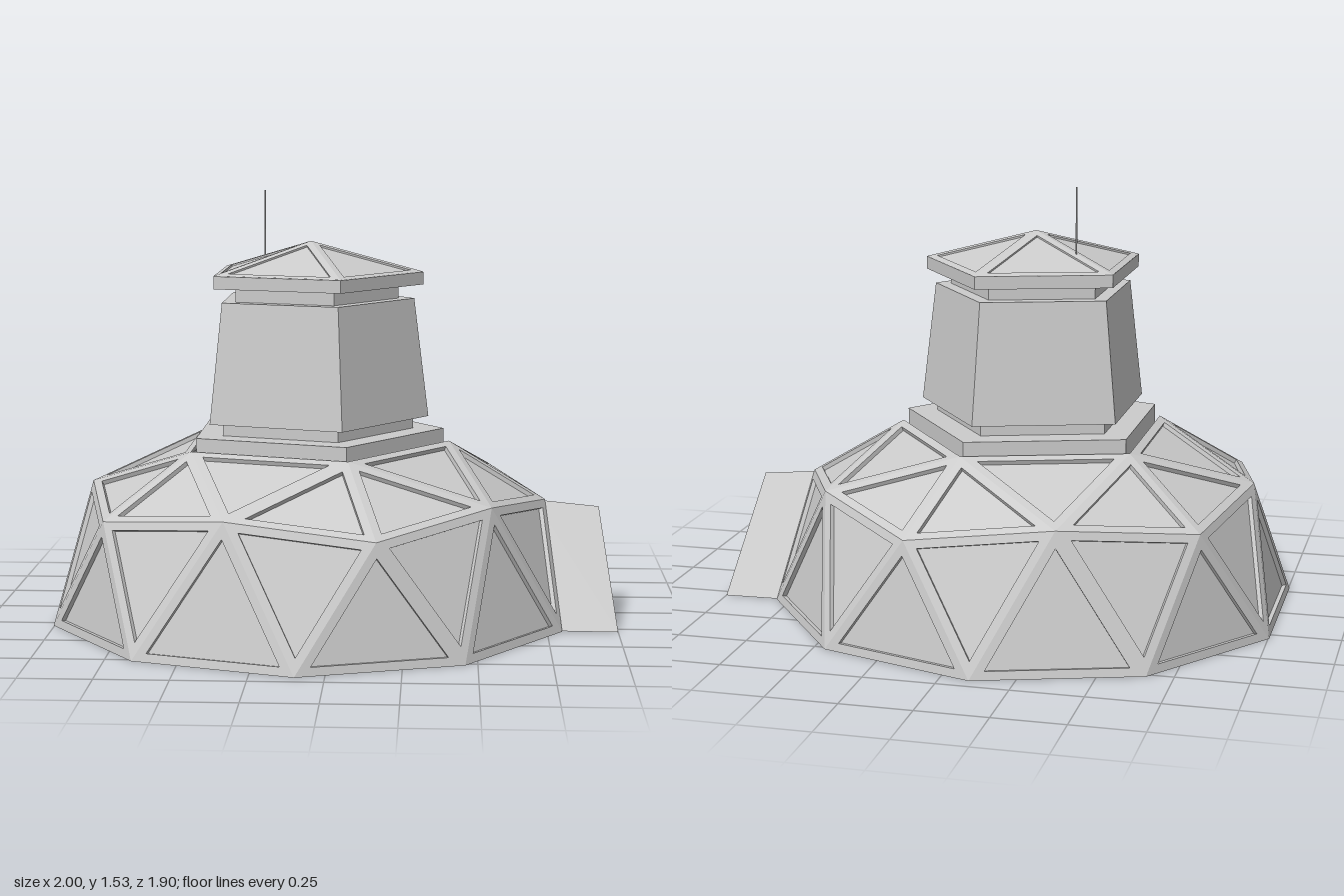
import * as THREE from 'three';

const CX = -0.1; // axis of the dome and tower
const material = new THREE.MeshStandardMaterial({ color: 0xcccccc, flatShading: true });
const centre = new THREE.Vector3(CX, 0, 0);

// point on a circle around the axis, angle in degrees from +x towards +z
function polar(r, deg, y) {
  const a = THREE.MathUtils.degToRad(deg);
  return new THREE.Vector3(CX + r * Math.cos(a), y, r * Math.sin(a));
}

// push a polygon (counter-clockwise from outside) as a triangle fan
function face(out, ...p) {
  for (let i = 1; i < p.length - 1; i++)
    for (const v of [p[0], p[i], p[i + 1]]) out.push(v.x, v.y, v.z);
}

function meshFrom(out, name) {
  const g = new THREE.BufferGeometry();
  g.setAttribute('position', new THREE.Float32BufferAttribute(out, 3));
  g.computeVertexNormals();
  const m = new THREE.Mesh(g, material);
  m.name = name;
  return m;
}

// corners moved inwards so that every side shifts by the given width
function insetTriangle(t, width) {
  const [a, b, c] = t;
  const la = b.distanceTo(c), lb = c.distanceTo(a), lc = a.distanceTo(b), p = la + lb + lc;
  const mid = new THREE.Vector3().addScaledVector(a, la / p).addScaledVector(b, lb / p).addScaledVector(c, lc / p);
  const radius = 2 * new THREE.Triangle(a, b, c).getArea() / p;
  return t.map(v => v.clone().lerp(mid, width / radius));
}

// triangular frame around a recessed panel
function framedPanel(out, t, width, recess) {
  const n = new THREE.Triangle(...t).getNormal(new THREE.Vector3());
  const rim = insetTriangle(t, width);
  const deep = rim.map(v => v.clone().addScaledVector(n, -recess));
  for (let i = 0; i < 3; i++) {
    const j = (i + 1) % 3;
    face(out, t[i], t[j], rim[j], rim[i]);
    face(out, rim[i], rim[j], deep[j], deep[i]);
  }
  face(out, ...deep);
}

// order three corners so that the face looks away from the dome centre
function outward(a, b, c) {
  const n = new THREE.Triangle(a, b, c).getNormal(new THREE.Vector3());
  const m = a.clone().add(b).add(c).divideScalar(3).sub(centre);
  return n.dot(m) > 0 ? [a, b, c] : [a, c, b];
}

const inner = v => v.clone().sub(centre).multiplyScalar(0.955).add(centre);

function buildDome() {
  const base = i => polar(0.95, i * 36 + 18, 0);
  const ring = i => (i % 2 ? polar(0.8, i * 36, 0.475) : polar(0.85, i * 36, 0.42));
  const top = i => polar(0.5, i * 72, 0.632);
  const tris = [];
  for (let i = 0; i < 10; i++) {
    if (i > 0) tris.push([base(i - 1), base(i), ring(i)]); // the first bay is the doorway
    tris.push([ring(i), ring(i + 1), base(i)]);
  }
  for (let k = 0; k < 5; k++) {
    const m = ring(2 * k + 1);
    tris.push([top(k), ring(2 * k), m], [top(k), m, top(k + 1)], [top(k + 1), m, ring(2 * k + 2)]);
  }
  const out = [];
  for (const t of tris) {
    const o = outward(...t);
    framedPanel(out, o, 0.03, 0.016);
    framedPanel(out, o.map(inner).reverse(), 0.03, 0.012);
  }
  // underside of the wall
  for (let i = 0; i < 10; i++) {
    const a = base(i), b = base(i + 1);
    face(out, a, b, inner(b), inner(a));
  }
  return meshFrom(out, 'dome');
}

// triangular entrance tunnel with an open front
function buildPorch() {
  const V = (x, y, z) => new THREE.Vector3(x, y, z);
  const back = [polar(0.95, 18, 0), polar(0.95, -18, 0), polar(0.85, 0, 0.42)].map(inner);
  back[0].z = 0.285;
  back[1].z = -0.285;
  back[2].y = 0.418;
  const front = [V(1, 0, 0.293), V(1, 0, -0.293), V(0.945, 0.395, 0)];
  const backIn = insetTriangle(back, 0.025), frontIn = insetTriangle(front, 0.025);
  const out = [];
  for (let i = 0; i < 3; i++) {
    const j = (i + 1) % 3;
    face(out, front[j], front[i], back[i], back[j]);
    face(out, front[i], front[j], frontIn[j], frontIn[i]);
    face(out, frontIn[i], frontIn[j], backIn[j], backIn[i]);
    face(out, backIn[i], backIn[j], back[j], back[i]);
  }
  return meshFrom(out, 'porch');
}

// five-sided block with one corner towards +x
function pentagon(name, y0, y1, r0, r1 = r0) {
  const m = new THREE.Mesh(new THREE.CylinderGeometry(r1, r0, y1 - y0, 5, 1, false, Math.PI / 2), material);
  m.position.set(CX, (y0 + y1) / 2, 0);
  m.name = name;
  return m;
}

function buildTower() {
  const g = new THREE.Group();
  g.name = 'tower';
  g.add(
    pentagon('collar', 0.605, 0.678, 0.48),
    pentagon('lowerNeck', 0.678, 0.722, 0.37),
    pentagon('towerBody', 0.722, 1.15, 0.425, 0.372),
    pentagon('upperNeck', 1.15, 1.2, 0.315),
    pentagon('eaves', 1.2, 1.245, 0.405)
  );
  // low roof of five framed panels
  const out = [];
  const apex = new THREE.Vector3(CX, 1.355, 0);
  for (let k = 0; k < 5; k++)
    framedPanel(out, outward(polar(0.405, k * 72, 1.246), polar(0.405, k * 72 + 72, 1.246), apex), 0.024, 0.007);
  g.add(meshFrom(out, 'roof'));
  return g;
}

export function createModel() {
  const model = new THREE.Group();
  model.name = 'domeHouse';
  model.add(buildDome(), buildPorch(), buildTower());
  const antenna = new THREE.Mesh(new THREE.CylinderGeometry(0.003, 0.003, 0.28, 6), material);
  antenna.position.set(-0.275, 1.39, -0.13);
  antenna.name = 'antenna';
  model.add(antenna);
  return model;
}
